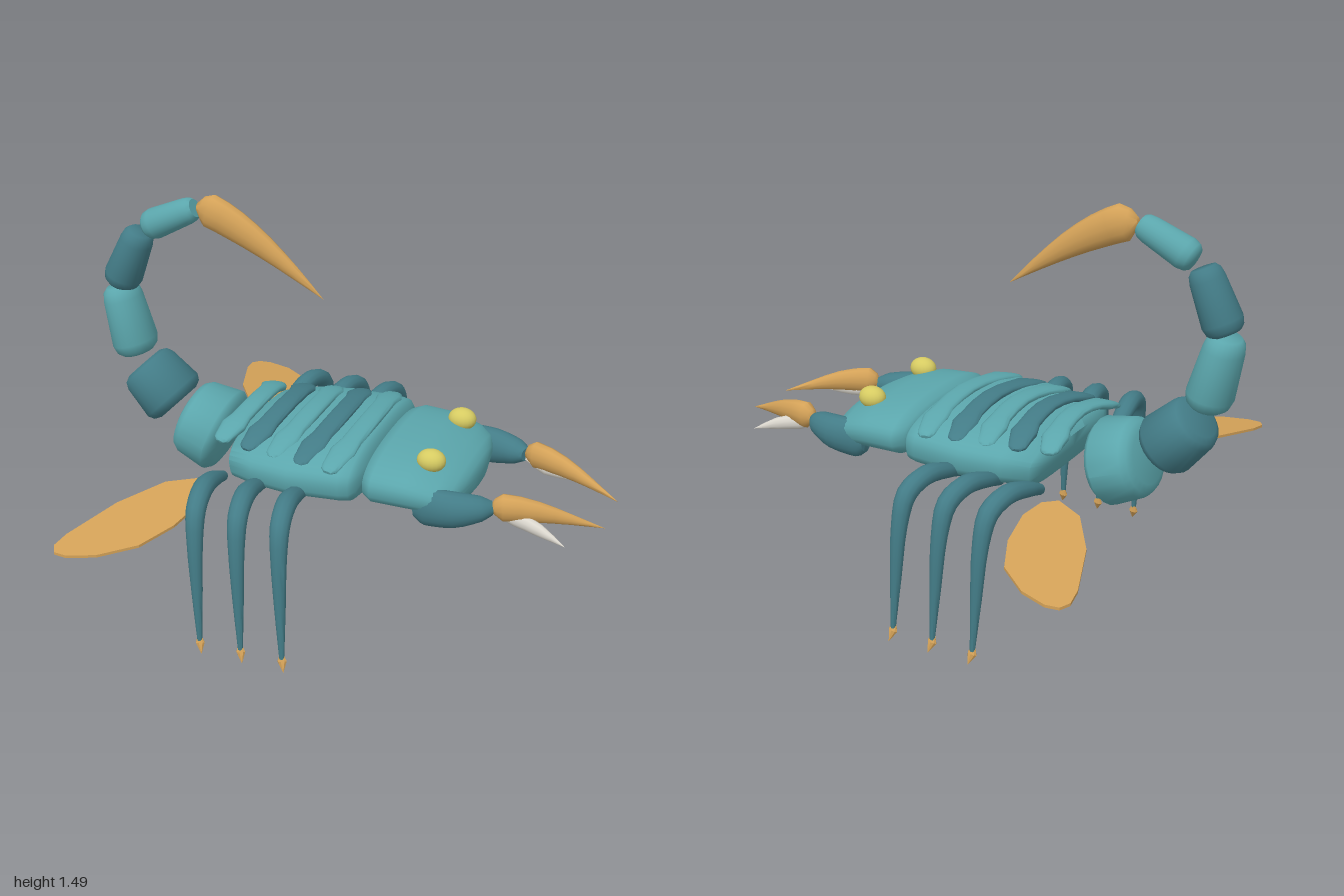
import * as THREE from 'three';
import { toCreasedNormals } from 'three/addons/utils/BufferGeometryUtils.js';

const material = (name, color) => {
  const m = new THREE.MeshStandardMaterial({ color });
  m.name = name;
  return m;
};

// Loft through rows [x, y, z, ru, rv]: ru runs along ref, rv across it.
// exps are the roundness of the +v and -v halves (2 = ellipse, more = boxier).
function loft(rows, ref, { sides = 20, steps = 1, exps = [2, 2], crease = 0.9 } = {}) {
  const path = new THREE.CatmullRomCurve3(rows.map(r => new THREE.Vector3(r[0], r[1], r[2])));
  const size = new THREE.CatmullRomCurve3(rows.map(r => new THREE.Vector3(r[3], r[4], 0)));
  const n = (rows.length - 1) * steps;
  const centres = [];
  for (let i = 0; i <= n; i++) centres.push(path.getPoint(i / n));
  const pos = [], index = [];
  const power = (v, e) => Math.sign(v) * Math.pow(Math.abs(v), 2 / e);
  const addRing = (c, u, v, ru, rv) => {
    for (let j = 0; j < sides; j++) {
      const a = (j / sides) * Math.PI * 2, s = Math.sin(a);
      const e = s > 0 ? exps[0] : exps[1];
      const p = c.clone().addScaledVector(u, ru * power(Math.cos(a), e)).addScaledVector(v, rv * power(s, e));
      pos.push(p.x, p.y, p.z);
    }
  };
  for (let i = 0; i <= n; i++) {
    const t = centres[Math.min(n, i + 1)].clone().sub(centres[Math.max(0, i - 1)]).normalize();
    const u = ref.clone().addScaledVector(t, -ref.dot(t)).normalize();
    const v = t.clone().cross(u);
    const r = size.getPoint(i / n);
    const ru = Math.max(r.x, 0), rv = Math.max(r.y, 0);
    if (i === 0) addRing(centres[i], u, v, 0, 0); // closed start
    addRing(centres[i], u, v, ru, rv);
    if (i === n) addRing(centres[i], u, v, 0, 0); // closed end
  }
  for (let i = 0; i < n + 2; i++) {
    for (let j = 0; j < sides; j++) {
      const k = (j + 1) % sides, a = i * sides + j, b = i * sides + k;
      if (i > 0) index.push(a, b, a + sides);
      if (i < n + 1) index.push(b, b + sides, a + sides);
    }
  }
  const g = new THREE.BufferGeometry();
  g.setAttribute('position', new THREE.Float32BufferAttribute(pos, 3));
  g.setIndex(index);
  return toCreasedNormals(g, crease);
}

export function createModel() {
  const group = new THREE.Group();
  const shell = material('shell teal', 0x5ba6ac);
  const dark = material('dark teal', 0x437c87);
  const horn = material('horn orange', 0xd4a258);
  const yellow = material('eye yellow', 0xd6cb62);
  const ivory = material('ivory', 0xdcd8cf);
  const X = new THREE.Vector3(1, 0, 0), Y = new THREE.Vector3(0, 1, 0), Z = new THREE.Vector3(0, 0, 1);
  const add = (name, geometry, mat) => {
    const mesh = new THREE.Mesh(geometry, mat);
    mesh.name = name;
    group.add(mesh);
    return mesh;
  };

  // Body and head, domed on top and flatter below
  add('body', loft([
    [-0.37, 0.58, 0, 0.25, 0.06], [-0.35, 0.585, 0, 0.305, 0.085], [-0.25, 0.595, 0, 0.345, 0.095],
    [-0.1, 0.6, 0, 0.37, 0.1], [0.09, 0.605, 0, 0.357, 0.1], [0.125, 0.605, 0, 0.347, 0.095], [0.145, 0.605, 0, 0.32, 0.075],
  ], Z, { sides: 40, exps: [3.5, 2.4] }), shell);
  add('head', loft([
    [0.15, 0.6, 0, 0.24, 0.06], [0.165, 0.6, 0, 0.305, 0.085], [0.2, 0.6, 0, 0.332, 0.097],
    [0.32, 0.595, 0, 0.328, 0.095], [0.42, 0.575, 0, 0.308, 0.08], [0.465, 0.565, 0, 0.275, 0.067],
    [0.495, 0.56, 0, 0.19, 0.055], [0.51, 0.56, 0, 0.08, 0.03],
  ], Z, { sides: 40, exps: [2.8, 2.3] }), shell);

  // Arched back plates in alternating colours
  [[-0.37, 0.265], [-0.255, 0.29], [-0.143, 0.312], [-0.033, 0.33], [0.083, 0.345]].forEach(([x, w], i) => {
    const rows = [-1, -0.96, -0.85, -0.5, 0, 0.5, 0.85, 0.96, 1].map(f => {
      const end = Math.abs(f) === 1 ? 0.4 : Math.abs(f) > 0.9 ? 0.8 : 1;
      return [x - 0.035 * f * f, 0.708 - 0.058 * f * f, w * f, 0.04 * end, 0.015 * end];
    });
    add('backPlate' + (i + 1), loft(rows, X, { sides: 16, steps: 2, exps: [2.5, 2.5] }), i % 2 ? dark : shell);
  });

  // Tail segments: base point, end point, base radii (z, in plane), end scale
  [
    [-0.49, 0.545, -0.66, 0.6, 0.183, 0.158, 0.9],
    [-0.705, 0.64, -0.845, 0.78, 0.138, 0.118, 0.9],
    [-0.868, 0.83, -0.93, 1.09, 0.1, 0.083, 0.86],
    [-0.925, 1.1, -0.83, 1.315, 0.079, 0.072, 0.85],
    [-0.8, 1.338, -0.6, 1.433, 0.06, 0.058, 0.85],
  ].forEach(([x0, y0, x1, y1, rz, ry, k], i) => {
    const rows = [[0, 0.7], [0.06, 0.9], [0.18, 1], [0.82, k], [0.94, 0.9 * k], [1, 0.7 * k]]
      .map(([t, s]) => [x0 + (x1 - x0) * t, y0 + (y1 - y0) * t, 0, rz * s, ry * s]);
    add('tailSegment' + (i + 1), loft(rows, Z, { sides: 24 }), i % 2 ? dark : shell);
  });
  add('stinger', loft([
    [-0.59, 1.44, 0, 0.012, 0.015], [-0.54, 1.43, 0, 0.042, 0.066], [-0.44, 1.385, 0, 0.038, 0.06],
    [-0.33, 1.32, 0, 0.029, 0.045], [-0.21, 1.235, 0, 0.015, 0.023], [-0.1, 1.15, 0, 0, 0],
  ], Z, { sides: 12, steps: 2 }), horn);

  for (const s of [1, -1]) {
    const side = s > 0 ? 'left' : 'right';
    const eye = add(side + 'Eye', new THREE.SphereGeometry(1, 20, 14), yellow);
    eye.scale.set(0.053, 0.042, 0.043);
    eye.position.set(0.378, 0.68, 0.178 * s);

    // Arm with a two-part pincer
    add(side + 'Arm', loft([
      [0.35, 0.545, 0.27 * s, 0.045, 0.03], [0.39, 0.545, 0.268 * s, 0.072, 0.045], [0.49, 0.548, 0.262 * s, 0.067, 0.055],
      [0.58, 0.555, 0.232 * s, 0.046, 0.047], [0.617, 0.557, 0.215 * s, 0.025, 0.025],
    ], Y, { sides: 18, steps: 3 }), dark);
    add(side + 'UpperPincer', loft([
      [0.615, 0.555, 0.222 * s, 0.012, 0.01], [0.655, 0.565, 0.213 * s, 0.052, 0.036],
      [0.77, 0.553, 0.18 * s, 0.04, 0.028], [0.88, 0.526, 0.142 * s, 0.02, 0.015], [0.995, 0.492, 0.1 * s, 0, 0],
    ], Y, { sides: 12, steps: 2 }), horn);
    add(side + 'LowerPincer', loft([
      [0.62, 0.545, 0.215 * s, 0.01, 0.01], [0.7, 0.525, 0.203 * s, 0.03, 0.022],
      [0.79, 0.505, 0.22 * s, 0.024, 0.018], [0.89, 0.472, 0.245 * s, 0, 0],
    ], Y, { sides: 10, steps: 2 }), ivory);

    // Three hooked legs with small claws
    [-0.345, -0.185, -0.025].forEach((x, i) => {
      add(side + 'Leg' + (i + 1), loft([
        [x - 0.04, 0.525, 0.29 * s, 0.02, 0.02], [x - 0.035, 0.56, 0.38 * s, 0.035, 0.028],
        [x - 0.02, 0.58, 0.49 * s, 0.038, 0.034], [x - 0.003, 0.545, 0.585 * s, 0.036, 0.034],
        [x + 0.006, 0.44, 0.622 * s, 0.03, 0.025], [x + 0.014, 0.25, 0.638 * s, 0.021, 0.018],
        [x + 0.022, 0.05, 0.65 * s, 0.009, 0.009],
      ], X, { sides: 12, steps: 3 }), dark);
      add(side + 'LegClaw' + (i + 1), loft([
        [x + 0.02, 0.062, 0.646 * s, 0.008, 0.006], [x + 0.023, 0.04, 0.65 * s, 0.018, 0.012], [x + 0.033, 0, 0.664 * s, 0, 0],
      ], X, { sides: 8, crease: 0.4 }), horn);
    });

    // Flat paddle at the rear, sloping down outward
    const outline = [[-0.78, 0.83], [-0.76, 0.865], [-0.71, 0.87], [-0.61, 0.835], [-0.495, 0.74], [-0.43, 0.6],
      [-0.4, 0.44], [-0.42, 0.345], [-0.47, 0.31], [-0.58, 0.37], [-0.69, 0.54], [-0.77, 0.76]];
    const shape = new THREE.Shape(outline.map(([x, z]) => new THREE.Vector2(x, -z * s)));
    const paddle = new THREE.ExtrudeGeometry(shape, { depth: 0.01, bevelEnabled: false });
    paddle.rotateX(-Math.PI / 2);
    const p = paddle.attributes.position;
    for (let i = 0; i < p.count; i++) p.setY(i, p.getY(i) + 0.43 + (0.87 - Math.abs(p.getZ(i))) * 0.125);
    paddle.computeVertexNormals();
    add(side + 'Paddle', paddle, horn);
  }
  return group;
}
